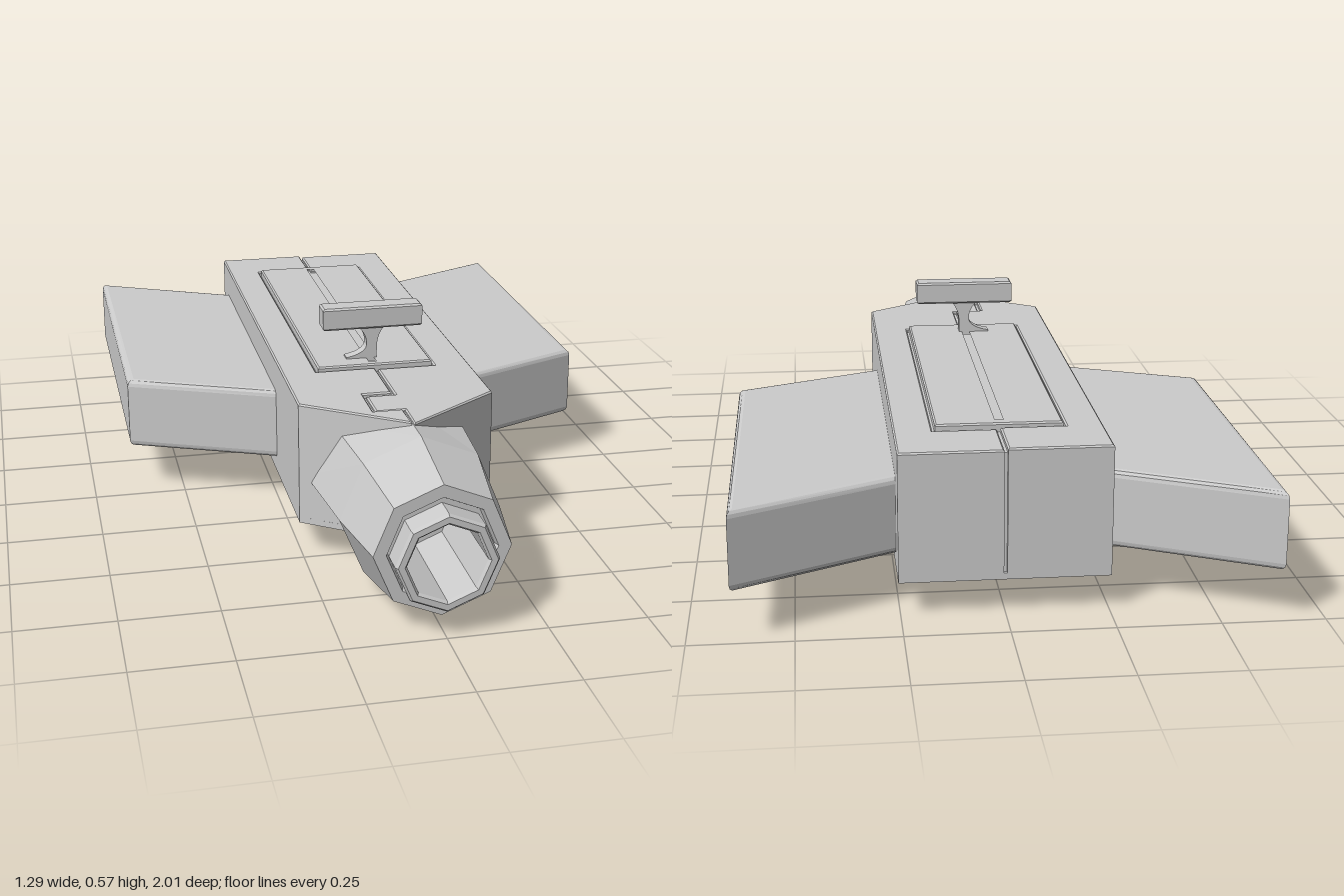
import * as THREE from 'three';

const material = new THREE.MeshStandardMaterial({ color: 0xcccccc, flatShading: true });

function add(group, name, geometry) {
  const mesh = new THREE.Mesh(geometry, material);
  mesh.name = name;
  group.add(mesh);
  return mesh;
}

const outline = (points) => points.map(([x, z]) => new THREE.Vector2(x, -z));
const rect = (x0, x1, z0, z1) => [[x0, z0], [x1, z0], [x1, z1], [x0, z1]];

// Plan outline given as [x, z], raised from y0 to y1 with an inset bevel
function slab(points, y0, y1, bevel = 0, hole = null, bevelSegments = 1) {
  const shape = new THREE.Shape(outline(points));
  if (hole) shape.holes.push(new THREE.Path(outline(hole)));
  const geometry = new THREE.ExtrudeGeometry(shape, {
    depth: y1 - y0 - 2 * bevel,
    bevelEnabled: bevel > 0,
    bevelThickness: bevel,
    bevelSize: bevel,
    bevelOffset: -bevel,
    bevelSegments,
  });
  geometry.rotateX(-Math.PI / 2);
  geometry.translate(0, y0 + bevel, 0);
  return geometry;
}

function createBody() {
  const body = new THREE.Group();
  body.name = 'body';
  const w = 0.255, back = -0.89, shoulder = 0.47, tip = 0.655, g = 0.004;
  const opening = rect(-0.164, 0.16, -0.73, 0.24);

  // Core closes the seams and the grooves around the hatches
  add(body, 'core', slab([[-w + 0.01, back + 0.01], [w - 0.01, back + 0.01],
    [w - 0.01, shoulder - 0.005], [0, tip - 0.015], [-w + 0.01, shoulder - 0.005]], 0.102, 0.402));

  // Two shell halves; the left one carries a locking tab
  add(body, 'leftShell', slab([
    [g, back], [w, back], [w, shoulder], [g, tip - g], [g, 0.55], [-0.072, 0.55],
    [-0.072, 0.44], [g, 0.44], [g, 0.24], [0.16, 0.24], [0.16, -0.73], [g, -0.73],
  ], 0.097, 0.411, 0.004));
  add(body, 'rightShell', slab([
    [-g, back], [-w, back], [-w, shoulder], [-g, tip - g], [-g, 0.558], [-0.08, 0.558],
    [-0.08, 0.432], [-g, 0.432], [-g, 0.24], [-0.164, 0.24], [-0.164, -0.73], [-g, -0.73],
  ], 0.097, 0.415, 0.004));

  // Underside with its recessed hatch
  add(body, 'bottomPlate', slab([[-w, back], [w, back], [w, shoulder], [0, tip], [-w, shoulder]],
    0.088, 0.104, 0, opening));
  add(body, 'bottomHatch', slab(rect(-0.155, 0.151, -0.721, 0.231), 0.092, 0.11));

  // Raised top hatch with a long slot for the slider
  add(body, 'topHatch', slab(rect(-0.158, 0.154, -0.724, 0.234), 0.38, 0.424, 0.004,
    rect(-0.019, 0.01, -0.7, 0.215)));
  return body;
}

function createBarrel() {
  const barrel = new THREE.Group();
  barrel.name = 'barrel';
  const lathe = (points) => {
    const geometry = new THREE.LatheGeometry(points.map(([r, z]) => new THREE.Vector2(r, z)), 8);
    return geometry.rotateX(Math.PI / 2);
  };

  // Eight-sided housing, flattened below where it runs into the body
  const housing = lathe([[0, 0.44], [0.232, 0.44], [0.203, 0.73], [0.168, 0.947],
    [0.136, 0.947], [0.13, 0.93], [0.11, 0.93]]);
  const p = housing.attributes.position;
  for (let i = 0; i < p.count; i++) {
    if (p.getZ(i) < 0.5) p.setY(i, p.getY(i) * (p.getY(i) < 0 ? 0.46 : 0.87));
  }
  add(barrel, 'housing', housing);

  // Hollow muzzle
  add(barrel, 'muzzle', lathe([[0.126, 0.9], [0.126, 0.992], [0.12, 1], [0.104, 1],
    [0.098, 0.992], [0.098, 0.68], [0, 0.68]]));
  barrel.position.y = 0.205;
  barrel.children[1].position.y = -0.01;
  return barrel;
}

function createSlider() {
  const slider = new THREE.Group();
  slider.name = 'slider';

  // Stem with flared top and a foot sweeping to the right
  const s = new THREE.Shape();
  s.moveTo(-0.07, 0.415);
  s.lineTo(0.014, 0.415);
  s.lineTo(0.014, 0.455);
  s.quadraticCurveTo(0.016, 0.495, 0.038, 0.514);
  s.lineTo(-0.038, 0.514);
  s.quadraticCurveTo(-0.012, 0.49, -0.014, 0.46);
  s.quadraticCurveTo(-0.02, 0.436, -0.07, 0.428);
  const stem = new THREE.ExtrudeGeometry(s, { depth: 0.032, bevelEnabled: false, curveSegments: 6 });
  add(slider, 'stem', stem.translate(0, 0, 0.149));

  // Crossbar
  add(slider, 'crossbar', slab(rect(-0.136, 0.136, 0.135, 0.196), 0.511, 0.572, 0.005));
  return slider;
}

function createWing(side) {
  const points = [[0.2, -0.783], [0.645, -1.005], [0.645, -0.045], [0.2, 0.148]];
  return slab(points.map(([x, z]) => [side * x, z]), 0.129, 0.326, 0.018, null, 3);
}

export function createModel() {
  const model = new THREE.Group();
  model.name = 'model';
  model.add(createBody(), createBarrel(), createSlider());
  add(model, 'leftWing', createWing(1));
  add(model, 'rightWing', createWing(-1));
  return model;
}
